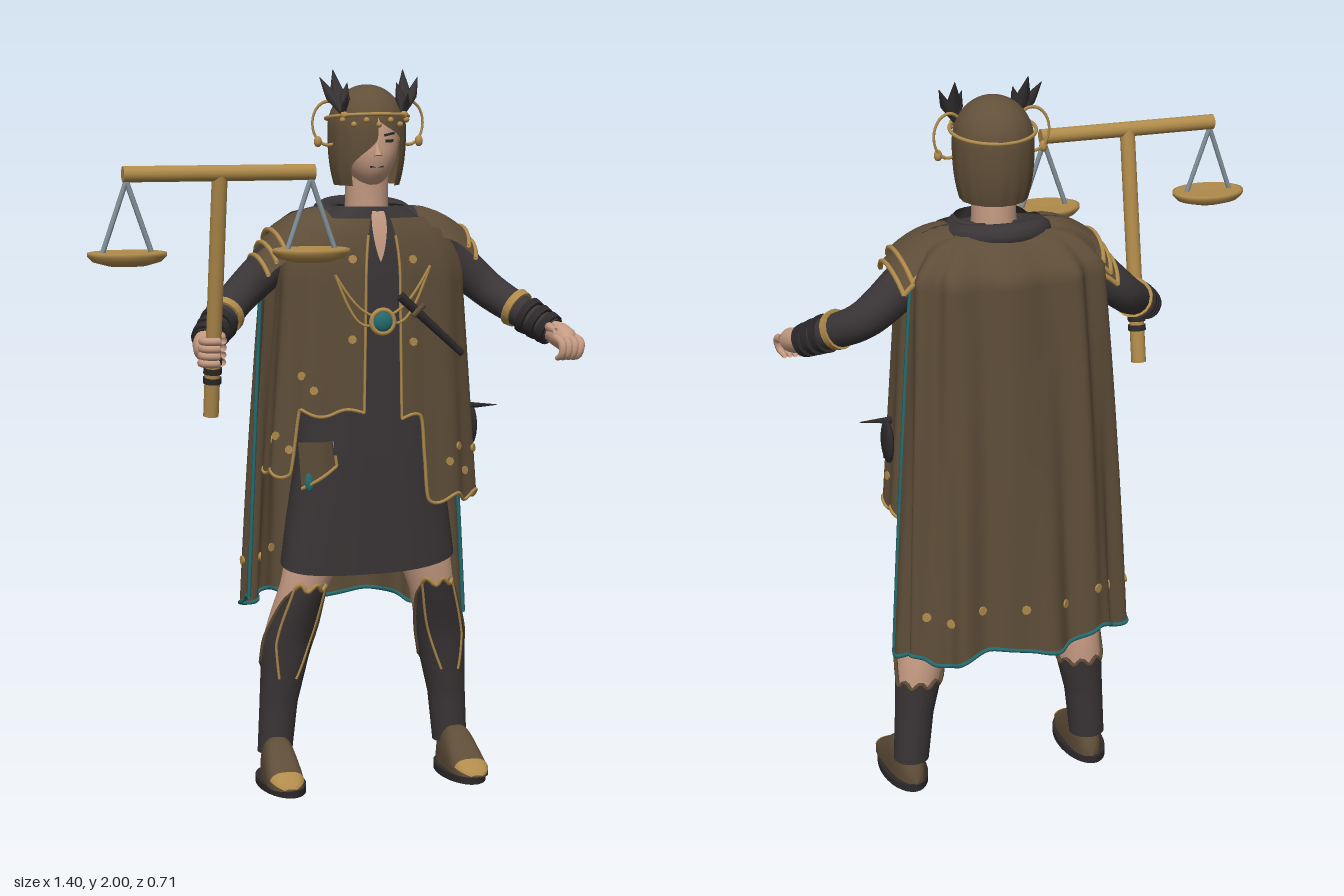
import * as THREE from 'three';

const { sin, cos, PI, abs, sign, sqrt, max, min } = Math;
const V = (x, y, z) => new THREE.Vector3(x, y, z);
const lerp = THREE.MathUtils.lerp, step = THREE.MathUtils.smoothstep;
const mat = (name, color) => new THREE.MeshStandardMaterial({ name, color, side: THREE.DoubleSide });
const CX = 0.155; // body's middle line

export function createModel() {
  const model = new THREE.Group();
  model.name = 'scaleBearer';
  const brown = mat('brownCloth', 0x5e4d38), hairMat = mat('hairBrown', 0x625039), dark = mat('darkCloth', 0x3a3536),
    black = mat('blackLeather', 0x2d292a), gold = mat('gold', 0xb08b4b), skin = mat('skin', 0xc69b83),
    teal = mat('teal', 0x256c70), steel = mat('steel', 0x84929b);

  // ---- helpers ----
  const add = (name, geo, m, pos = [0, 0, 0], rot = [0, 0, 0], scale = [1, 1, 1]) => {
    const mesh = new THREE.Mesh(geo, m);
    mesh.name = name;
    mesh.position.set(...pos); mesh.rotation.set(...rot); mesh.scale.set(...scale);
    model.add(mesh);
    return mesh;
  };
  // surface from a rule f(u, v) -> point
  const sheet = (name, m, f, nu = 32, nv = 20) => {
    const g = new THREE.PlaneGeometry(1, 1, nu, nv), p = g.attributes.position, uv = g.attributes.uv;
    for (let i = 0; i < p.count; i++) p.setXYZ(i, ...f(uv.getX(i), 1 - uv.getY(i)).toArray());
    g.computeVertexNormals();
    return add(name, g, m);
  };
  // thin cord along a rule t -> point
  const cord = (name, m, f, r = 0.005, n = 40) => {
    const pts = Array.from({ length: n + 1 }, (_, i) => f(i / n));
    return add(name, new THREE.TubeGeometry(new THREE.CatmullRomCurve3(pts), n * 2, r, 6), m);
  };
  // rounded limb through [x, y, z, radius] stations
  const limb = (name, m, st, sides = 16, n = 28) => {
    const curve = new THREE.CatmullRomCurve3(st.map(s => V(s[0], s[1], s[2])));
    const g = new THREE.TubeGeometry(curve, n, 1, sides), p = g.attributes.position, q = V();
    for (let i = 0; i < p.count; i++) {
      const u = Math.floor(i / (sides + 1)) / n, c = curve.getPointAt(u), k = curve.getUtoTmapping(u) * (st.length - 1);
      const j = min(Math.floor(k), st.length - 2), r = lerp(st[j][3], st[j + 1][3], k - j);
      q.fromBufferAttribute(p, i).sub(c).multiplyScalar(r).add(c);
      p.setXYZ(i, q.x, q.y, q.z);
    }
    return add(name, g, m);
  };
  const rod = (name, m, a, b, r0, r1 = r0, sides = 16) => {
    const d = b.clone().sub(a), mesh = add(name, new THREE.CylinderGeometry(r1, r0, d.length(), sides), m);
    mesh.position.copy(a).addScaledVector(d, 0.5);
    mesh.quaternion.setFromUnitVectors(V(0, 1, 0), d.normalize());
    return mesh;
  };
  const stud = (name, m, f, u, v, r) => {
    const a = f(u, v), n = f(u + 0.01, v).sub(a).cross(f(u, v + 0.01).sub(a)).normalize();
    return rod(name, m, a.clone().addScaledVector(n, -0.004), a.clone().addScaledVector(n, 0.004), r, r, 8);
  };
  const ball = (name, m, pos, r, scale) => add(name, new THREE.SphereGeometry(r, 20, 14), m, pos, [0, 0, 0], scale);
  const pw = (x, e = 0.8) => sign(x) * abs(x) ** e;
  const shoulder = y => sqrt(1 - 0.82 * THREE.MathUtils.clamp((y - 1.42) / 0.2, 0, 1) ** 2);

  // ---- torso, skirt and neck ----
  const torso = (a, y, k = 1) => {
    const r = shoulder(y);
    return V(CX + 0.225 * k * r * pw(sin(a)), y, -0.02 + 0.112 * k * (0.5 + 0.5 * r) * pw(cos(a)));
  };
  sheet('tunic', dark, (u, v) => torso(u * 2 * PI, lerp(1.63, 0.95, v)), 40);
  sheet('neckOpening', skin, (u, v) => torso((u - 0.5) * 0.22 * (1 - v), lerp(1.62, 1.48, v), 1.03), 6, 10);
  sheet('skirt', dark, (u, v) => {
    const a = u * 2 * PI, y = lerp(1.12, 0.64 - 0.03 * cos(a) + 0.012 * sin(a), v);
    return V(CX + lerp(0.13, 0.25, sqrt(v)) * pw(sin(a)), y, -0.032 + lerp(0.115, 0.1, v) * pw(cos(a)) * (1 + 0.03 * sin(4 * a) * v));
  }, 48);
  limb('neck', skin, [[CX, 1.56, -0.05, 0.068], [CX, 1.64, -0.05, 0.06], [CX, 1.74, -0.045, 0.06]]);
  add('collar', new THREE.TorusGeometry(0.1, 0.03, 10, 32), dark, [CX, 1.6, -0.085], [PI / 2 + 0.18, 0, 0], [1.12, 1, 1.1]);

  // ---- long coat, open at the front with uneven hems ----
  for (const s of [1, -1]) {
    const hem = u => s > 0 ? lerp(1.05, 0.82, step(u, 0.08, 0.12)) + 0.012 * sin(u * 30)
      : lerp(1.07, 0.9, step(u, 0.3, 0.37)) + 0.01 * sin(u * 26);
    const coat = (u, v) => {
      const a = 0.12 + u * 2.4, y = lerp(1.6, hem(u), v ** 1.3), r = shoulder(y);
      const fold = 1 + 0.03 * v * sin(a * 11);
      const rx = (0.262 + 0.04 * max(0, 1.4 - y) / 0.6) * r * fold;
      return V(CX + s * rx * pw(sin(a)), y, -0.015 + 0.13 * (0.5 + 0.5 * r) * fold * pw(cos(a)));
    };
    sheet('coatPanel', brown, coat, 64, 28);
    cord('coatHemTrim', gold, t => coat(t, 1), 0.005, 60);
    cord('coatFrontTrim', gold, t => coat(0, 0.15 + t * 0.85), 0.004);
    for (const [u, v] of [[0.22, 0.9], [0.3, 0.86], [0.38, 0.92], [0.47, 0.88], [0.56, 0.91], [0.06, 0.3], [0.05, 0.7]])
      stud('coatStud', gold, coat, u, v, 0.012);
  }
  ball('sidePouch', black, [0.45, 1.01, -0.015], 0.05, [0.3, 1.2, 0.95]);
  rod('hipSpike', black, V(0.42, 1.065, 0), V(0.52, 1.065, 0.01), 0.012, 0.001, 8);
  // hanging pocket
  const pocket = (u, v) => V(-0.075 + u * 0.1 + 0.01 * v, 0.99 - v * (0.13 - 0.06 * u), 0.075 + 0.02 * sin(u * PI));
  sheet('pocket', brown, pocket, 8, 6);
  cord('pocketTrim', gold, t => t < 0.5 ? pocket(t * 2, 1) : pocket(1, 2 - t * 2), 0.005, 20);
  ball('pocketGem', teal, [-0.045, 0.88, 0.085], 0.022, [0.6, 1.2, 0.3]);

  // ---- cape ----
  const cape = (u, v) => {
    const t = (u - 0.5) * PI, out = min(1, v / 0.12), y = lerp(1.62, 0.48 + 0.018 * sin(t * 7) - 0.02 * sin(t), v ** 1.2);
    const w = lerp(0.13, 0.255, sqrt(out)) + 0.065 * v, d = lerp(0.035, 0.135, out ** 0.8) + 0.04 * v;
    const f = 0.011 * out * sin(t * 11 + 2 * v + 0.7) + 0.007 * v * sin(t * 19 - v);
    return V(CX + (w + f) * pw(sin(t)), y, -0.145 - 0.01 * v - (d + f) * pw(cos(t), 0.75));
  };
  sheet('cape', brown, cape, 90, 40);
  cord('capeHem', teal, t => cape(t, 1), 0.006, 70);
  for (const u of [0, 1]) cord('capeEdge', teal, t => cape(u, 0.12 + t * 0.88), 0.006);
  for (let i = 1; i < 10; i++) stud('capeStud', gold, cape, i / 10, 0.91, 0.013);

  // ---- head ----
  const headGeo = new THREE.SphereGeometry(1, 32, 24), hp = headGeo.attributes.position;
  for (let i = 0; i < hp.count; i++) {
    const y = hp.getY(i), k = 1 - 0.12 * max(0, -y);
    hp.setXYZ(i, hp.getX(i) * k, y, hp.getZ(i) * (hp.getZ(i) > 0 ? 1 + 0.25 * max(0, -y) : 1));
  }
  headGeo.computeVertexNormals();
  add('head', headGeo, skin, [CX, 1.805, -0.035], [0, 0, 0], [0.084, 0.13, 0.092]);
  add('nose', new THREE.ConeGeometry(0.012, 0.045, 8), skin, [CX, 1.79, 0.058], [-0.25, 0, 0]);
  add('mouth', new THREE.BoxGeometry(0.038, 0.005, 0.008), black, [CX, 1.738, 0.049]);
  for (const s of [1, -1]) {
    add('eyebrow', new THREE.BoxGeometry(0.036, 0.006, 0.008), black, [CX + s * 0.036, 1.826, 0.045], [0, s * 0.45, s * 0.15]);
    add('eye', new THREE.BoxGeometry(0.026, 0.008, 0.008), black, [CX + s * 0.036, 1.808, 0.047], [0, s * 0.45, 0]);
  }
  // bobbed hair with a fringe swept over one eye
  sheet('hair', hairMat, (u, v) => {
    const dome = v < 0.45, q = v / 0.45 * PI / 2, low = max(0, (v - 0.45) / 0.55);
    const y = dome ? 1.84 + 0.12 * cos(q) : lerp(1.84, 1.685, low);
    const r = (dome ? sin(q) : 1 - 0.17 * low ** 2.5);
    const a = lerp(0.72 * step(-y, -1.87, -1.81), 2 * PI - (0.72 * step(-y, -1.82, -1.73)), u);
    const f = 1 + 0.012 * sin(a * 15) * v;
    return V(CX + 0.108 * r * f * sin(a), y, -0.05 + 0.114 * r * f * cos(a));
  }, 72, 30);

  // ---- circlet with hoops, beads and feathers ----
  add('circlet', new THREE.TorusGeometry(0.114, 0.005, 8, 48), gold, [CX, 1.87, -0.047], [PI / 2 - 0.1, 0, 0]);
  for (let i = -3; i <= 3; i++) ball('circletBead', gold, [CX + 0.116 * sin(i * 0.3), 1.865 - 0.012 * (i % 2 === 0), -0.044 + 0.116 * cos(i * 0.3)], 0.008);
  for (const s of [1, -1]) {
    add('hoop', new THREE.TorusGeometry(0.052, 0.004, 8, 28), gold, [CX + s * 0.115, 1.855, -0.03], [0, s * 0.2, 0], [0.85, 1.15, 1]);
    ball('hoopBead', gold, [CX + s * 0.145, 1.805, -0.03], 0.011, [1, 1.4, 1]);
    for (const [x, y, z, r] of [[0.1, 2.0, -0.04, 0.02], [0.14, 1.98, -0.03, 0.016], [0.07, 1.965, 0.0, 0.016], [0.085, 1.935, 0.06, 0.01]]) {
      limb('feather', dark, [[CX + s * 0.085, 1.88, 0.015, 0.006], [CX + s * lerp(0.09, x, 0.5), lerp(1.88, y, 0.5), lerp(0.015, z, 0.5), r],
        [CX + s * x, y, z, 0.001]], 6, 8);
    }
    ball('featherClasp', gold, [CX + s * 0.085, 1.878, 0.025], 0.011);
  }

  // ---- arms, cuffs and pauldrons ----
  for (const s of [1, -1]) {
    const P = (x, y, z, r) => [CX + s * x, y, z, r];
    limb('sleeve', dark, [P(0.04, 1.57, -0.06, 0.055), P(0.17, 1.555, -0.065, 0.064), P(0.26, 1.475, -0.075, 0.06), P(0.36, 1.385, -0.06, 0.052),
      P(0.435, 1.325, 0.03, 0.046), P(0.495, 1.28, 0.11, 0.036)]);
    const fore = t => V(CX + s * lerp(0.385, 0.5, t), lerp(1.365, 1.275, t), lerp(-0.035, 0.115, t));
    [[0.32, 0.056, gold], [0.55, 0.054, black], [0.72, 0.051, black], [0.88, 0.048, black]].forEach(([t, r, m]) =>
      rod('cuffBand', m, fore(t - 0.05), fore(t + 0.05), r, r - 0.003, 20));
    limb('hand', skin, [P(0.495, 1.28, 0.1, 0.03), P(0.503, 1.272, 0.14, 0.035), P(0.508, 1.262, 0.175, 0.034), P(0.506, 1.25, 0.2, 0.012)]);
    for (let i = 0; i < 4; i++) {
      if (s < 0) add('grippingFinger', new THREE.TorusGeometry(0.029, 0.011, 8, 20, 5), skin, [-0.342, 1.29 - i * 0.02, 0.202 - i * 0.004], [PI / 2, 0, 1.2]);
      else limb('curledFinger', skin, [P(0.48 + i * 0.018, 1.268, 0.175, 0.012), P(0.485 + i * 0.018, 1.255, 0.212, 0.012),
        P(0.485 + i * 0.016, 1.225, 0.212, 0.011), P(0.48 + i * 0.015, 1.212, 0.185, 0.007)], 8, 10);
    }
    limb('thumb', skin, [P(0.485, 1.29, 0.13, 0.013), P(0.465, 1.297, 0.16, 0.013), P(0.47, 1.29, 0.195, 0.008)], 8, 10);
    for (let k = 0; k < (s > 0 ? 2 : 3); k++) {
      const plate = (u, v) => {
        const b = (u - 0.5) * 2.4, drop = 0.035 * k;
        return V(CX + s * (lerp(0.13 + 0.06 * min(k, 1), 0.275 + 0.022 * k, v) - 0.02 * (1 - cos(b))),
          lerp(1.625, 1.565, v * v) - drop - 0.075 * (1 - cos(b)), -0.06 + (0.132 - 0.005 * k) * sin(b));
      };
      sheet('pauldronPlate', brown, plate, 16, 6);
      cord('pauldronTrim', gold, t => plate(t, 1), 0.007, 16);
      cord('pauldronBackTrim', gold, t => plate(0, t), 0.007, 6);
    }
  }

  // ---- legs, tall boots and shoes ----
  for (const s of [1, -1]) {
    const X = x => CX + 0.008 + s * x;
    const st = [[0.14, 0.72, -0.045, 0.085], [0.19, 0.55, -0.065, 0.064], [0.226, 0.4, -0.095, 0.067], [0.25, 0.22, -0.1, 0.05], [0.26, 0.09, -0.1, 0.046]];
    limb('leg', skin, st.map(([x, y, z, r]) => [X(x), y, z, r]));
    const axis = y => {
      let i = 1;
      while (i < 3 && y < st[i + 1][1]) i++;
      const t = (st[i][1] - y) / (st[i][1] - st[i + 1][1]);
      return st[i].map((c, j) => lerp(c, st[i + 1][j], t));
    };
    const boot = (u, v, k = 1.08) => {
      const a = (u - 0.5) * 2 * PI, y = lerp(0.33 + 0.24 * step(cos(a), -0.3, 0.75) + 0.01 * sin(a * 9), 0.08, v);
      const [x, , z, r] = axis(y);
      return V(X(x) + r * k * sin(a) * (1 - 0.12 * step(y, 0.42, 0.58)), y, z + r * (k + 0.35 * step(y, 0.38, 0.6) * (cos(a) > 0)) * cos(a));
    };
    sheet('boot', dark, (u, v) => boot(u, v), 40, 24);
    cord('bootTopTrim', brown, t => boot(t, 0.01), 0.006, 48);
    sheet('greave', dark, (u, v) => boot(lerp(0.38, 0.62, u), v * 0.75, 1.15), 12, 20);
    for (const u of [0.38, 0.62]) cord('greaveTrim', gold, t => boot(lerp(u, 0.5, t ** 3 * 0.5), t * 0.55, 1.16), 0.004, 24);
    cord('greaveTopTrim', gold, t => boot(lerp(0.38, 0.62, t), 0, 1.16), 0.006, 12);
    // shoe tapers from instep to toe over a flat sole
    const shoe = (u, v, k = 1) => {
      const z = lerp(-0.155, 0.122, u), a = v * PI, end = sqrt(max(0, 1 - abs(2 * u - 1) ** 3.5));
      const h = lerp(0.115, 0.05, step(u, 0.35, 0.85)) * (0.35 + 0.65 * end);
      return V(X(0.26) + s * 0.012 * u - (0.042 + 0.017 * u) * k * end * pw(cos(a), 0.7), 0.018 + h * k * end * pw(sin(a), 0.7), z);
    };
    sheet('shoe', brown, shoe, 32, 20);
    sheet('toeCap', gold, (u, v) => shoe(lerp(0.82, 0.99, u), lerp(0.12, 0.88, v), 1.05), 10, 16);
    add('sole', new THREE.CylinderGeometry(1, 1, 0.02, 32), black, [X(0.265), 0.01, -0.018], [0, 0, 0], [0.064, 1, 0.142]);
  }

  // ---- balance scale ----
  const top = V(-0.34, 1.74, 0.285), foot = V(-0.34, 1.085, 0.165);
  rod('scaleStaff', gold, foot, top, 0.021);
  for (const t of [0.15, 0.19, 0.23]) rod('staffWrap', black, foot.clone().lerp(top, t - 0.012), foot.clone().lerp(top, t + 0.012), 0.025);
  rod('scaleBeam', gold, V(-0.597, 1.737, 0.285), V(-0.085, 1.737, 0.285), 0.021);
  const bowl = [[0.001, -0.024], [0.05, -0.021], [0.09, -0.01], [0.104, 0.004], [0.104, 0.014], [0.095, 0.016], [0.001, 0.012]];
  for (const x of [-0.588, -0.095]) {
    add('scalePan', new THREE.LatheGeometry(bowl.map(p => new THREE.Vector2(...p)), 36), gold, [x, 1.522, 0.288], [0, 0, 0], [1, 1, 0.71]);
    for (const s of [1, -1]) rod('panHanger', steel, V(x, 1.72, 0.285), V(x + s * 0.066, 1.53, 0.288), 0.007, 0.007, 8);
  }

  // ---- chest brooch, chains and dagger ----
  add('broochRim', new THREE.TorusGeometry(0.032, 0.007, 8, 28), gold, [0.152, 1.32, 0.122]);
  ball('broochGem', teal, [0.152, 1.32, 0.12], 0.03, [1, 1, 0.5]);
  for (const [x, y] of [[0.02, 1.45], [0.29, 1.47]])
    for (const sag of [0.03, 0.07])
      cord('chestChain', gold, t => V(lerp(x, 0.152, t), lerp(y, 1.33, t) - sag * sin(t * PI), lerp(0.112, 0.122, t)), 0.004, 12);
  rod('daggerSheath', black, V(0.2, 1.39, 0.125), V(0.385, 1.225, 0.108), 0.014, 0.01, 8);
  rod('daggerGuard', brown, V(0.235, 1.335, 0.135), V(0.265, 1.365, 0.135), 0.008, 0.008, 8);

  return model;
}
